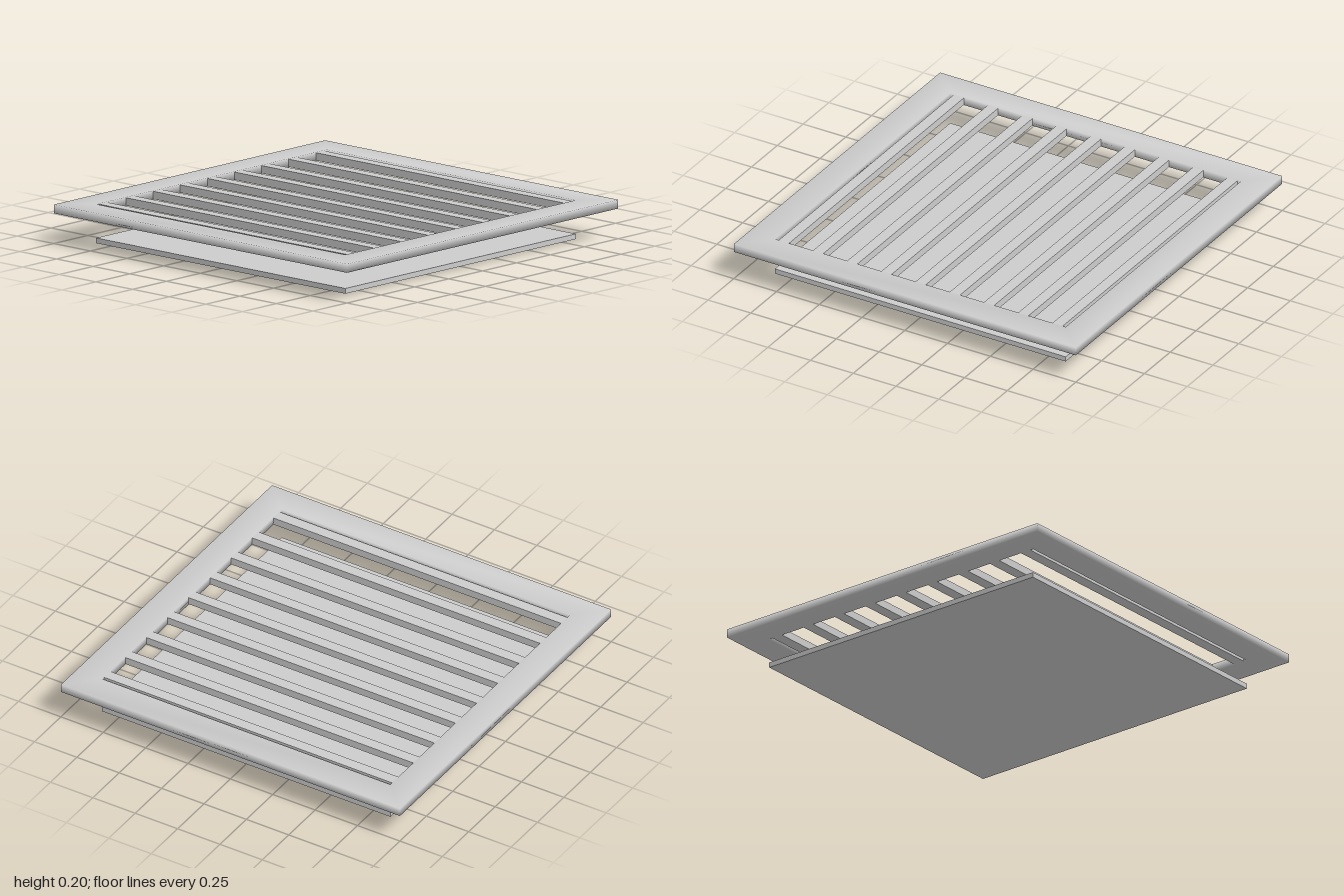
import * as THREE from 'three';

const INNER = 0.85, FRAME_BOTTOM = 0.155, FRAME_TOP = 0.2;

// Square ring with shared corners, so its normals blend smoothly
function squareRing(profile) {
  const corners = [[1, 1], [1, -1], [-1, -1], [-1, 1]];
  const positions = [], index = [], n = profile.length;
  corners.forEach(([sx, sz], i) => {
    profile.forEach(([r, y], j) => {
      positions.push(sx * r, y, sz * r);
      const k = (j + 1) % n, next = ((i + 1) % 4) * n;
      const a = i * n + j, b = next + j, c = next + k, d = i * n + k;
      index.push(a, b, c, a, c, d);
    });
  });
  const g = new THREE.BufferGeometry();
  g.setAttribute('position', new THREE.Float32BufferAttribute(positions, 3));
  g.setIndex(index);
  g.computeVertexNormals();
  return g;
}

export function createModel() {
  const model = new THREE.Group();
  model.name = 'ventGrille';
  const grey = new THREE.MeshStandardMaterial({ color: 0xcccccc });
  grey.name = 'light grey';

  const add = (name, geometry, y = 0, z = 0) => {
    const mesh = new THREE.Mesh(geometry, grey);
    mesh.name = name;
    mesh.position.set(0, y, z);
    model.add(mesh);
  };

  // Outer frame
  add('frame', squareRing([
    [1, FRAME_BOTTOM], [1, FRAME_TOP], [INNER, FRAME_TOP], [INNER, FRAME_BOTTOM],
  ]));

  // Row of slats across the opening
  const slat = new THREE.BoxGeometry(INNER * 2, 0.04, 0.06);
  for (let i = -4; i <= 4; i++) add(`slat${i + 5}`, slat, 0.177, i * 0.2);

  // Back plate hanging below the opening
  add('backPlate', new THREE.BoxGeometry(INNER * 2, 0.027, INNER * 2), 0.0135);

  return model;
}
